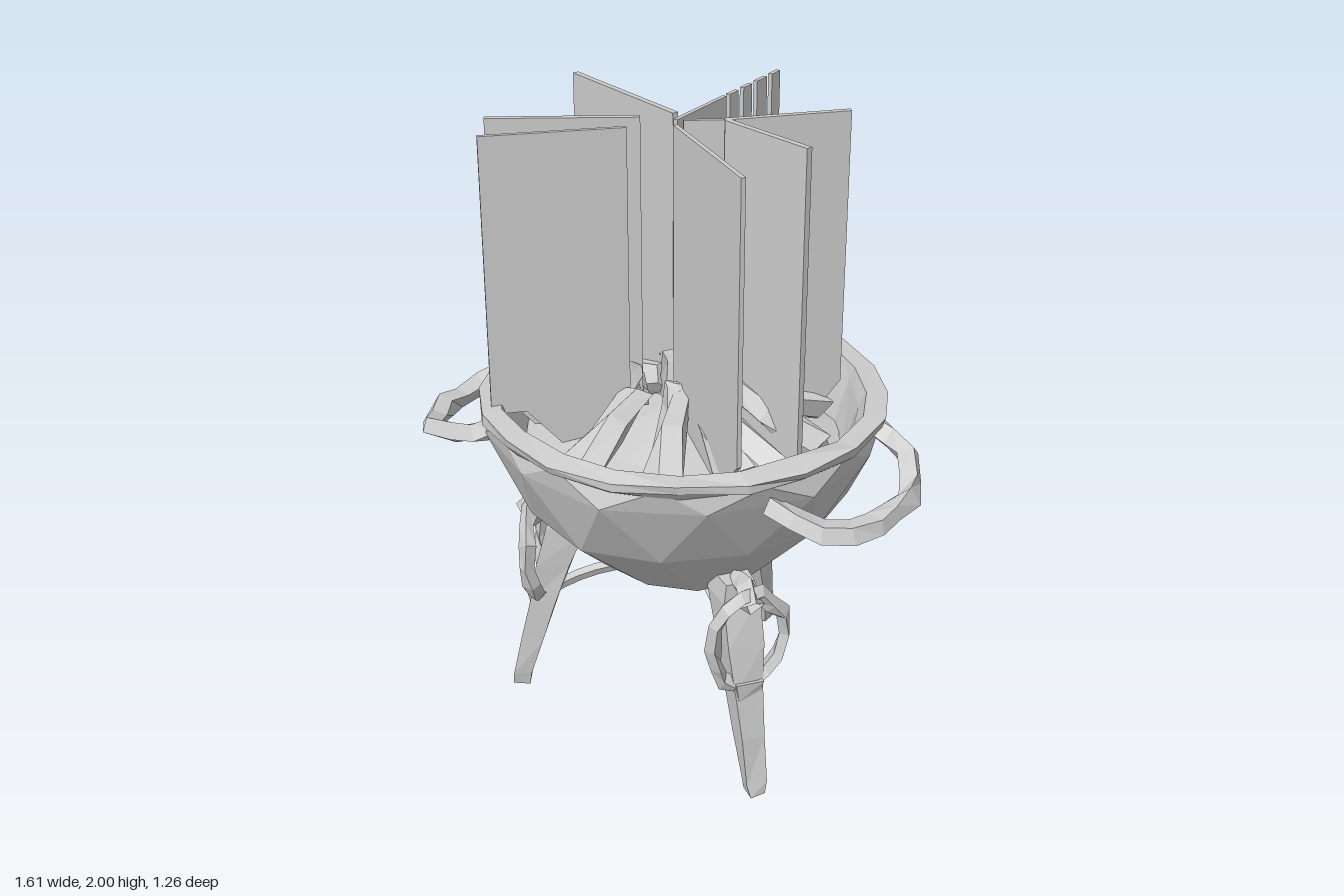
import * as THREE from 'three';

const V = (x, y, z) => new THREE.Vector3(x, y, z);
const material = new THREE.MeshStandardMaterial({ color: 0xcccccc, flatShading: true, side: THREE.DoubleSide });

function addMesh(parent, geometry, name) {
  const mesh = new THREE.Mesh(geometry, material);
  mesh.name = name;
  parent.add(mesh);
  return mesh;
}

// Repeatable offset that depends only on position, so shared corners stay joined
function jitter(geometry, amount) {
  const p = geometry.attributes.position;
  const wave = (a, b, c) => Math.sin(a * 23.1 + b * 37.7 + c * 29.3);
  for (let i = 0; i < p.count; i++) {
    const x = p.getX(i), y = p.getY(i), z = p.getZ(i);
    p.setXYZ(i, x + amount * wave(x, y, z), y + amount * wave(z, x, y), z + amount * wave(y, z, x));
  }
  geometry.computeVertexNormals();
  return geometry;
}

// Upright bar through sections [radius, y, half depth, half width], bottom to top
function bar(sections) {
  const n = sections.length - 1;
  const geometry = new THREE.BoxGeometry(2, n, 2, 1, n, 1);
  const p = geometry.attributes.position;
  for (let i = 0; i < p.count; i++) {
    const [r, y, d, w] = sections[Math.round(p.getY(i) + n / 2)];
    p.setXYZ(i, r + p.getX(i) * d, y, p.getZ(i) * w);
  }
  return geometry;
}

// Strap or handle with a low-sided section swept along points
function strap(points, radius, segments) {
  return new THREE.TubeGeometry(new THREE.CatmullRomCurve3(points), segments, radius, 4);
}

// Turned shape; twist turns each row by that share of a side, giving triangular facets
function lathe(profile, sides, twist = 0) {
  const geometry = new THREE.LatheGeometry(profile.map(([r, y]) => new THREE.Vector2(r, y)), sides);
  const p = geometry.attributes.position;
  const up = V(0, 1, 0), v = V(0, 0, 0);
  for (let i = 0; i < p.count; i++) {
    const row = i % profile.length;
    v.fromBufferAttribute(p, i).applyAxisAngle(up, row * twist * 2 * Math.PI / sides);
    p.setXYZ(i, v.x, v.y, v.z);
  }
  return geometry;
}

// Thin upright sheet between two plan points, buried in the ash at its foot
function sheet(parent, [x0, z0], [x1, z1], thickness = 0.014) {
  const length = Math.hypot(x1 - x0, z1 - z0);
  const foot = (x, z) => (Math.hypot(x, z) > 0.48 ? 1.12 : 1);
  const shape = new THREE.Shape();
  shape.moveTo(0, 2);
  for (let i = 0; i <= 4; i++) {
    const t = i / 4;
    shape.lineTo(t * length, foot(x0 + (x1 - x0) * t, z0 + (z1 - z0) * t));
  }
  shape.lineTo(length, 2);
  const geometry = new THREE.ExtrudeGeometry(shape, { depth: thickness, bevelEnabled: false });
  geometry.translate(0, 0, -thickness / 2);
  const mesh = addMesh(parent, geometry, 'flameSheet');
  mesh.position.set(x0, 0, z0);
  mesh.rotation.y = -Math.atan2(z1 - z0, x1 - x0);
}

// Rough split log between two points
function log(parent, from, to, radius, name) {
  const geometry = new THREE.CylinderGeometry(radius * 0.7, radius, from.distanceTo(to), 5, 2);
  const mesh = addMesh(parent, jitter(geometry, 0.016), name);
  mesh.position.copy(from).lerp(to, 0.5);
  mesh.quaternion.setFromUnitVectors(V(0, 1, 0), to.clone().sub(from).normalize());
}

export function createModel() {
  const model = new THREE.Group();
  model.name = 'fireBowl';

  // Coarsely faceted bowl, with a finer rolled rim and inner wall
  addMesh(model, jitter(lathe([
    [0, 0.595], [0.3, 0.605], [0.51, 0.82], [0.61, 1.04], [0.612, 1.12],
  ], 12, 0.5), 0.01), 'bowl');
  addMesh(model, jitter(lathe([
    [0.6, 1.09], [0.628, 1.115], [0.632, 1.145], [0.565, 1.15], [0.55, 1.1], [0.5, 0.95],
  ], 20), 0.008), 'rim');

  // Low heap of ash filling the bowl
  addMesh(model, jitter(lathe([[0.515, 0.97], [0.3, 1.02], [0.12, 1.07], [0, 1.1]], 10), 0.01), 'ashBed');

  // Side handles drooping outward from the bowl
  const handles = {
    leftHandle: [[0.53, 1.09, -0.25], [0.67, 1.05, -0.225], [0.76, 0.99, -0.1],
      [0.765, 0.97, 0.07], [0.68, 0.98, 0.22], [0.53, 1.04, 0.28]],
    rightHandle: [[-0.58, 1.07, -0.04], [-0.7, 1.02, 0.01], [-0.765, 0.975, 0.15],
      [-0.745, 0.97, 0.33], [-0.64, 0.985, 0.45], [-0.5, 1.01, 0.43], [-0.4, 1.05, 0.4]],
  };
  for (const [name, points] of Object.entries(handles)) {
    addMesh(model, jitter(strap(points.map((p) => V(...p)), 0.037, 10), 0.008), name);
  }

  // Three splayed legs [angle, outward shift], each with an upright oval ring on its outer face
  [[0.52, 0.028], [2.6, 0.01], [4.61, -0.012]].forEach(([angle, shift]) => {
    const leg = new THREE.Group();
    leg.name = 'leg';
    leg.rotation.y = -angle;
    leg.position.set(Math.cos(angle) * shift, 0, Math.sin(angle) * shift);
    addMesh(leg, jitter(bar([
      [0.545, 0.004, 0.026, 0.026], [0.535, 0.05, 0.028, 0.032], [0.5, 0.2, 0.035, 0.038],
      [0.455, 0.36, 0.045, 0.05], [0.415, 0.5, 0.055, 0.056], [0.37, 0.64, 0.06, 0.06],
      [0.37, 0.7, 0.05, 0.05],
    ]), 0.004), 'legPost');

    const ring = new THREE.TorusGeometry(0.119, 0.022, 4, 14);
    ring.scale(1, 1.4, 1.2);
    ring.rotateY(Math.PI / 2);
    ring.rotateZ(-0.06);
    ring.translate(0.483, 0.53, 0);
    addMesh(leg, jitter(ring, 0.008), 'legRing');

    // Bracket tying the ring to the bowl, and a clip at the ring's foot
    addMesh(leg, jitter(strap([V(0.39, 0.69, 0), V(0.45, 0.705, 0), V(0.51, 0.66, 0)], 0.038, 4), 0.012), 'ringBracket');
    const clip = new THREE.BoxGeometry(0.07, 0.05, 0.09);
    clip.translate(0.47, 0.365, 0);
    addMesh(leg, jitter(clip, 0.008), 'ringClip');
    model.add(leg);

    // Arched brace from the leg to the middle, under the bowl
    const middle = V(0, 0.49, -0.05);
    const at = (t, y) => V(Math.cos(angle) * 0.46, y, Math.sin(angle) * 0.46).lerp(V(middle.x, y, middle.z), t);
    addMesh(model, strap([at(0, 0.37), at(0.2, 0.43), at(0.45, 0.475), at(0.75, 0.49), middle], 0.019, 8), 'legBrace');
  });

  // Logs leaning in toward the middle: outer x, z then inner x, z and inner height
  const fire = new THREE.Group();
  fire.name = 'fire';
  model.add(fire);
  [
    [-0.27, -0.38, -0.1, -0.1, 1.14], [0.13, -0.41, -0.02, -0.08, 1.16],
    [0.26, -0.38, 0.05, -0.1, 1.15], [0.43, -0.13, 0.1, -0.07, 1.17],
    [0.41, 0.09, 0.08, 0.01, 1.14], [0.36, 0.19, 0.06, 0.03, 1.12],
    [0.2, 0.36, 0.03, 0.08, 1.15], [-0.06, 0.42, -0.08, 0.13, 1.16],
    [-0.45, 0.08, -0.13, 0.04, 1.13], [-0.49, -0.06, -0.12, -0.05, 1.14],
  ].forEach(([x0, z0, x1, z1, y]) => log(fire, V(x0, 1.02, z0), V(x1, y, z1), 0.062, 'log'));

  // Kindling propped in the middle
  [
    [-0.05, -0.03, 1.23], [-0.13, 0.07, 1.19], [0.03, 0.07, 1.19], [0.1, -0.1, 1.2], [-0.12, -0.1, 1.18],
  ].forEach(([x, z, y]) => log(fire, V(x * 1.9, 1.03, z * 1.9), V(x, y, z), 0.055, 'kindling'));

  // Flame sheets radiating from the middle
  [
    [[-0.58, -0.19], [-0.08, -0.06], 0.02], [[0.31, -0.4], [0.07, -0.1], 0.02],
    [[0.07, -0.1], [-0.02, -0.02]], [[0.41, -0.04], [0.08, -0.1], 0.02],
    [[0.41, 0.27], [-0.01, 0.03]], [[-0.39, 0.455], [-0.11, 0.13]],
    [[-0.49, 0.32], [-0.14, 0.03], 0.02],
  ].forEach(([a, b, t]) => sheet(fire, a, b, t));

  // The rear sheet is split into strips
  [[-0.6, -0.55], [-0.52, -0.46], [-0.43, -0.38], [-0.35, -0.3], [-0.28, -0.01]].forEach(([z0, z1]) => {
    const x = (z) => -0.04 + z * 0.09;
    sheet(fire, [x(z0), z0], [x(z1), z1]);
  });

  return model;
}
